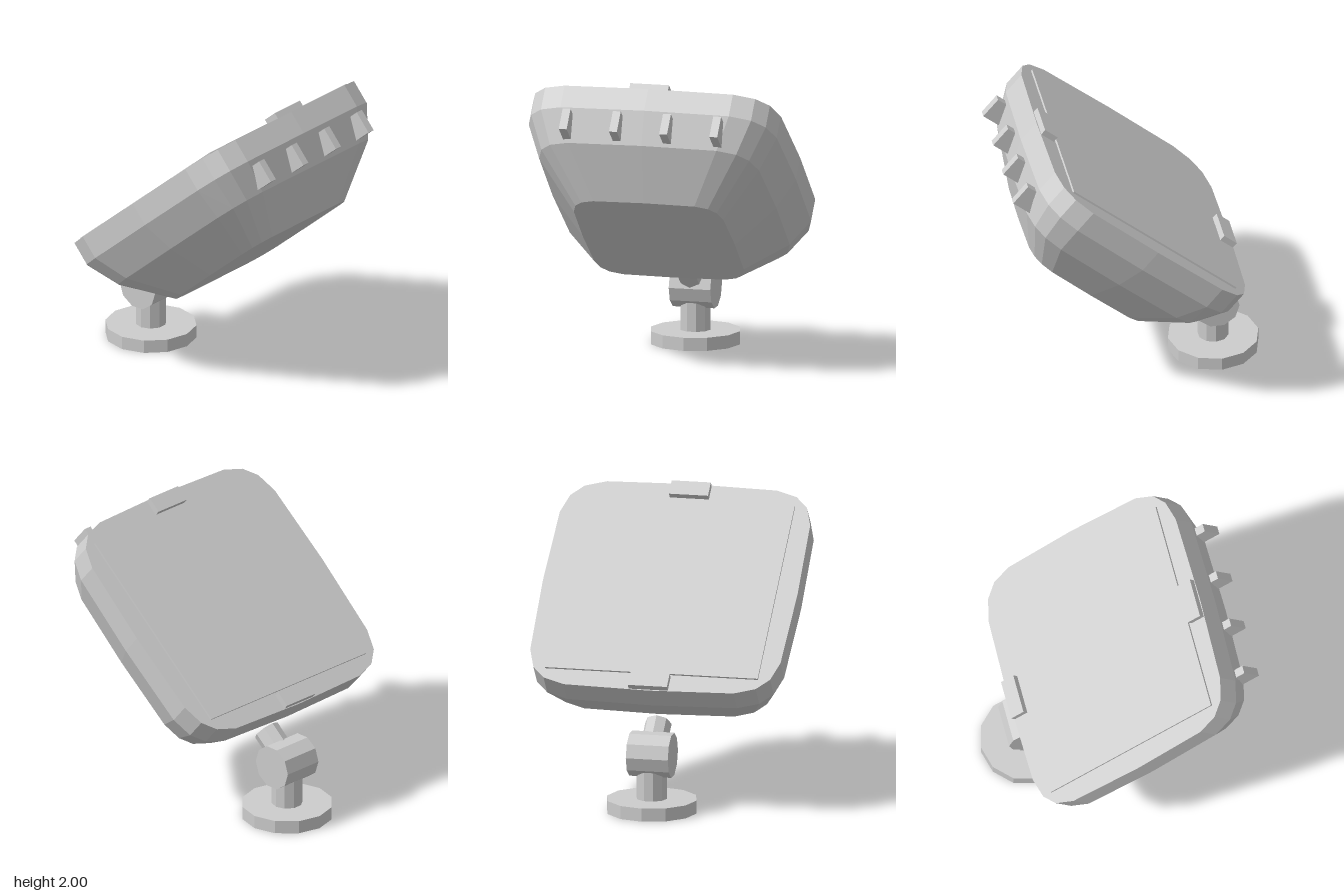
import * as THREE from 'three';

export function createModel() {
  const model = new THREE.Group();
  const grey = new THREE.MeshStandardMaterial({ color: 0xcccccc, flatShading: true });
  grey.name = 'grey plastic';

  function add(parent, name, geometry, x, y, z) {
    const mesh = new THREE.Mesh(geometry, grey);
    mesh.name = name;
    mesh.position.set(x, y, z);
    parent.add(mesh);
    return mesh;
  }
  // Cylinder with a vertex on the x axis
  const prism = (r, h, sides) =>
    new THREE.CylinderGeometry(r, r, h, sides, 1, false, Math.PI / 2);

  // Rounded-square ring in the xz plane
  const SIDES = 20;
  const power = (v) => Math.sign(v) * Math.pow(Math.abs(v), 0.345);
  function ring([y, rx, rz, cz]) {
    return Array.from({ length: SIDES }, (_, i) => {
      const a = (i / SIDES) * Math.PI * 2;
      const c = Math.round(Math.cos(a) * 1e6) / 1e6;
      const s = Math.round(Math.sin(a) * 1e6) / 1e6;
      return [rx * power(c), y, cz + rz * power(s)];
    });
  }

  // Housing lofted through rings from the screen rim to the small rear face
  function housingGeometry() {
    const levels = [
      [0, 0.88, 0.866, 0],
      [-0.167, 0.88, 0.866, 0],
      [-0.388, 0.78, 0.775, 0],
      [-0.664, 0.53, 0.518, -0.043],
    ];
    const rings = levels.map(ring);
    const last = levels.length - 1;
    const top = [0, levels[0][0], levels[0][3]];
    const bottom = [0, levels[last][0], levels[last][3]];
    const tris = [];
    for (let i = 0; i < SIDES; i++) {
      const j = (i + 1) % SIDES;
      tris.push(top, rings[0][j], rings[0][i]);
      tris.push(bottom, rings[last][i], rings[last][j]);
      for (let k = 0; k < last; k++) {
        const a = rings[k][i], c = rings[k][j];
        const b = rings[k + 1][i], d = rings[k + 1][j];
        tris.push(a, c, b, c, d, b);
      }
    }
    const g = new THREE.BufferGeometry();
    g.setAttribute('position', new THREE.Float32BufferAttribute(tris.flat(), 3));
    g.computeVertexNormals();
    return g;
  }

  // Tilted head: local y points out of the screen, local z up the slope
  const tilt = THREE.MathUtils.degToRad(-40);
  const head = new THREE.Group();
  head.name = 'head';
  head.rotation.x = tilt;
  head.position.set(0, 1.419, -0.034);
  model.add(head);

  add(head, 'housing', housingGeometry(), 0, 0, 0);
  add(head, 'screen', new THREE.BoxGeometry(1.47, 0.03, 1.455), 0, -0.002, 0);
  for (const s of [1, -1]) {
    add(head, s > 0 ? 'upperClip' : 'lowerClip',
      new THREE.BoxGeometry(0.27, 0.08, 0.112), 0, 0.002, s * 0.802);
  }
  // Row of buttons on the upper edge
  for (const x of [-0.525, -0.175, 0.175, 0.525]) {
    add(head, 'button', new THREE.BoxGeometry(0.055, 0.158, 0.16), x, -0.285, 0.83);
  }

  // Stand
  const z = -0.582;
  const stand = new THREE.Group();
  stand.name = 'stand';
  model.add(stand);
  add(stand, 'base', prism(0.31, 0.09, 12), 0, 0.045, z);
  add(stand, 'post', prism(0.105, 0.25, 10), 0, 0.205, z);

  // Hinge barrel lying along x, with a vertex facing forwards
  const hinge = add(stand, 'hinge',
    new THREE.CylinderGeometry(0.153, 0.153, 0.29, 10), 0, 0.394, z);
  hinge.rotation.z = Math.PI / 2;

  // Stub reaching from the hinge up the slope
  const neck = add(stand, 'neck', prism(0.091, 0.26, 8), 0, 0.394 + 0.13 * 0.643, z + 0.13 * 0.766);
  neck.rotation.x = tilt + Math.PI / 2;

  return model;
}
